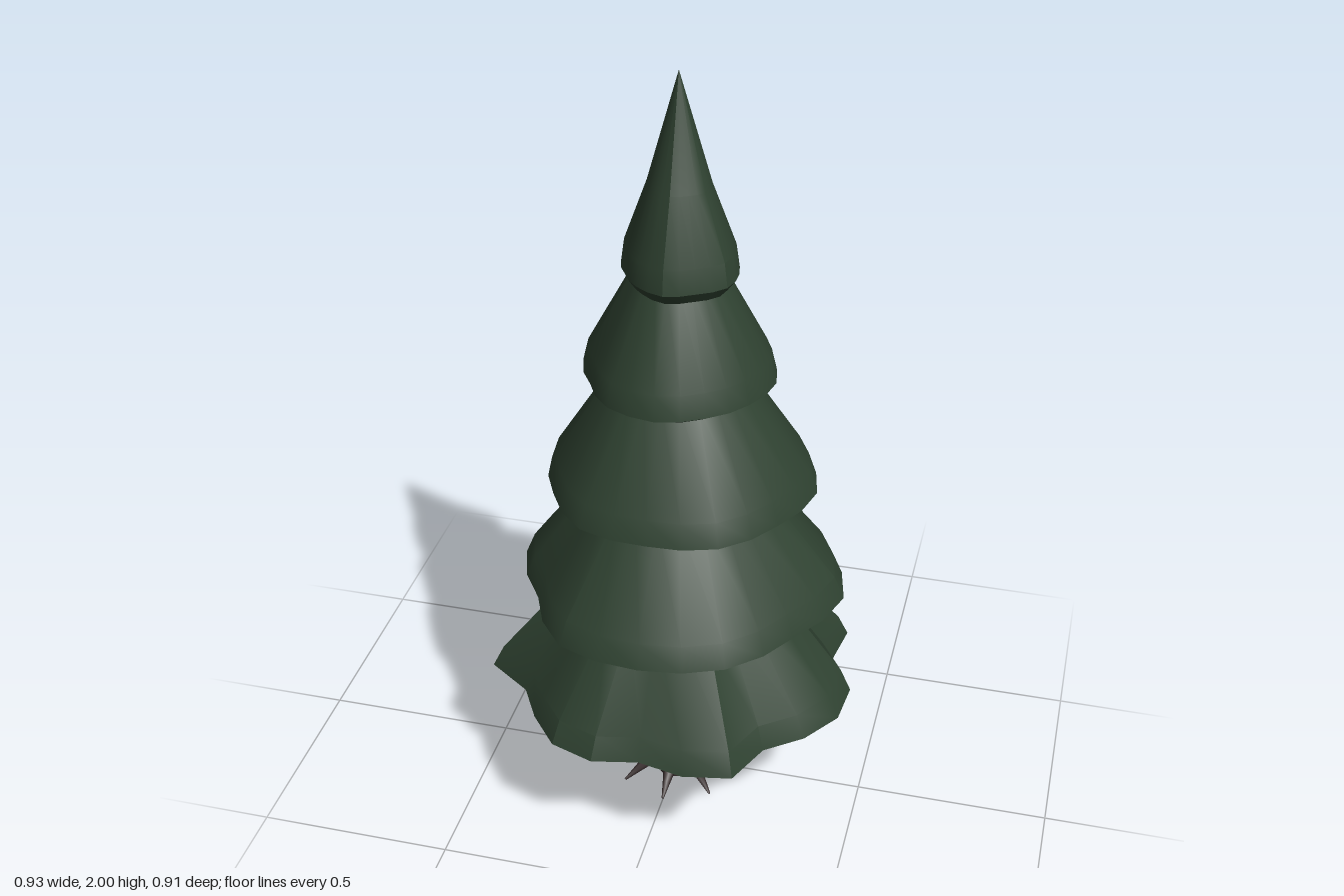
import * as THREE from 'three';
import { toCreasedNormals } from 'three/addons/utils/BufferGeometryUtils.js';

const needleGreen = new THREE.MeshStandardMaterial({ color: 0x2f4231 });
needleGreen.name = 'needleGreen';
const barkBrown = new THREE.MeshStandardMaterial({ color: 0x3a3030 });
barkBrown.name = 'barkBrown';

// Rim radii run in even steps from +x towards +z
const BOTTOM_RIM = [0.46, 0.465, 0.44, 0.41, 0.475, 0.45, 0.41, 0.45, 0.457, 0.43, 0.414, 0.49,
  0.425, 0.43, 0.446, 0.477, 0.414, 0.444, 0.48, 0.433, 0.428, 0.46, 0.475, 0.405];
const SECOND_RIM = [0.43, 0.39, 0.41, 0.41, 0.42, 0.37, 0.41, 0.4, 0.364, 0.405, 0.4, 0.41];
const THIRD_RIM = [0.35, 0.33, 0.34, 0.325, 0.34, 0.32, 0.33, 0.33, 0.3, 0.32, 0.345, 0.335];
const FOURTH_RIM = [0.24, 0.23, 0.23, 0.245, 0.24, 0.22, 0.24, 0.235, 0.22, 0.23, 0.25, 0.235];
const TOP_RIM = [0.145, 0.155, 0.145, 0.155, 0.14, 0.13, 0.14, 0.135, 0.16, 0.145, 0.16, 0.14];

// Doubles the points of a rim by averaging neighbours
const refine = (rim) => rim.flatMap((r, i) => [r, (r + rim[(i + 1) % rim.length]) / 2]);

// Closed skin: flat underside, bevelled rim, drooping crease, neck and tip
function tierGeometry(rim, { bottom, under, neck, neckY, tipY }) {
  const rings = [[0, bottom], [under, bottom], [1, bottom + 0.03], [0.94, bottom + 0.09], [neck, neckY], [0, tipY]];
  const n = rim.length, positions = [], index = [];
  for (const [scale, y] of rings) {
    rim.forEach((r, i) => {
      const a = (i / n) * Math.PI * 2;
      positions.push(Math.cos(a) * r * scale, y, Math.sin(a) * r * scale);
    });
  }
  for (let j = 0; j < rings.length - 1; j++) {
    const closing = rings[j + 1][0] === 0;
    for (let i = 0; i < n; i++) {
      const a = j * n + i, b = j * n + ((i + 1) % n);
      if (!closing) index.push(a, a + n, b + n);
      if (j > 0) index.push(a, closing ? a + n : b + n, b);
    }
  }
  const g = new THREE.BufferGeometry();
  g.setAttribute('position', new THREE.Float32BufferAttribute(positions, 3));
  g.setIndex(index);
  return toCreasedNormals(g, 0.5);
}

// Tapered root bent out and down along a curve
function rootGeometry() {
  const path = new THREE.QuadraticBezierCurve3(
    new THREE.Vector3(0.025, 0.085, 0),
    new THREE.Vector3(0.08, 0.055, 0),
    new THREE.Vector3(0.165, 0.012, 0));
  const g = new THREE.CylinderGeometry(0.003, 0.032, 1, 7, 4);
  const p = g.attributes.position;
  for (let i = 0; i < p.count; i++) {
    const t = THREE.MathUtils.clamp(p.getY(i) + 0.5, 0, 1);
    const c = path.getPoint(t), d = path.getTangent(t), x = p.getX(i);
    p.setXYZ(i, c.x + x * d.y, c.y - x * d.x, p.getZ(i));
  }
  g.computeVertexNormals();
  return g;
}

export function createModel() {
  const model = new THREE.Group();
  model.name = 'pineTree';
  const add = (name, geometry, material, parent) => {
    const mesh = new THREE.Mesh(geometry, material);
    mesh.name = name;
    parent.add(mesh);
    return mesh;
  };

  // Foliage, widest tier first
  const foliage = new THREE.Group();
  foliage.name = 'foliage';
  foliage.position.set(0.005, 0, 0.02);
  model.add(foliage);
  const addTier = (name, rim, profile) => add(name, tierGeometry(rim, profile), needleGreen, foliage);
  addTier('bottomTier', BOTTOM_RIM, { bottom: 0.315, under: 0.7, neck: 0.56, neckY: 0.63, tipY: 0.63 });
  addTier('secondTier', refine(SECOND_RIM), { bottom: 0.605, under: 0.68, neck: 0.51, neckY: 0.93, tipY: 0.93 });
  addTier('thirdTier', refine(THIRD_RIM), { bottom: 0.91, under: 0.75, neck: 0.5, neckY: 1.23, tipY: 1.23 });
  addTier('fourthTier', refine(FOURTH_RIM), { bottom: 1.205, under: 0.8, neck: 0.46, neckY: 1.51, tipY: 1.51 });
  addTier('topTier', refine(TOP_RIM), { bottom: 1.485, under: 0.85, neck: 0.54, neckY: 1.73, tipY: 2 });

  // Trunk with a slight flare
  const base = new THREE.Group();
  base.name = 'trunkAndRoots';
  base.position.set(0.002, 0, 0.02);
  model.add(base);
  add('trunk', new THREE.CylinderGeometry(0.056, 0.07, 0.3, 12), barkBrown, base).position.y = 0.23;
  add('trunkFoot', new THREE.CylinderGeometry(0.07, 0.06, 0.08, 12), barkBrown, base).position.y = 0.04;

  // Roots around the foot
  const root = rootGeometry();
  for (let i = 0; i < 8; i++) {
    add('root', root, barkBrown, base).rotation.y = (i * Math.PI) / 4;
  }
  return model;
}
